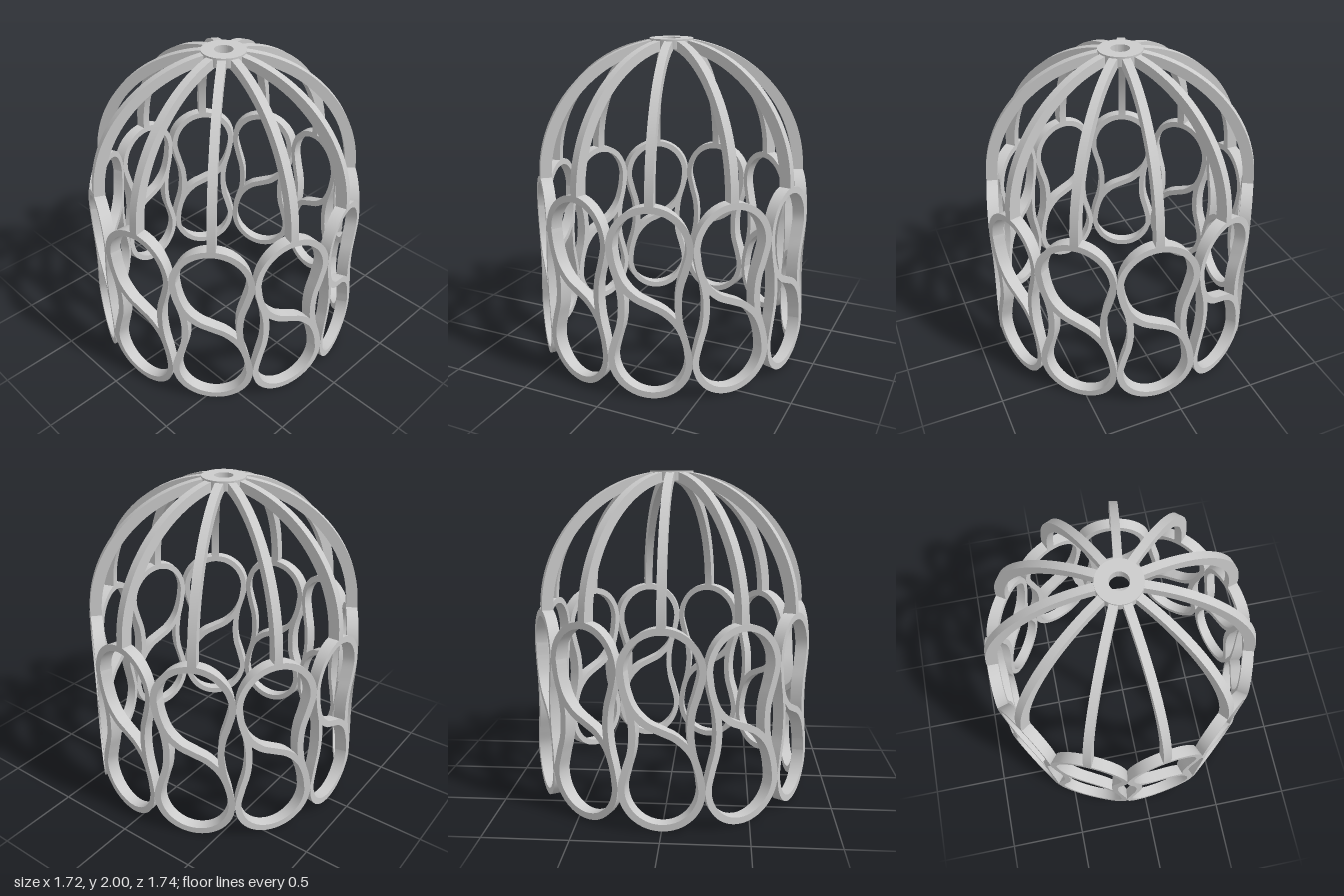
import * as THREE from 'three';
import { toCreasedNormals } from 'three/addons/utils/BufferGeometryUtils.js';

const SIDES = 11;
const APOTHEM = 0.844;   // centre to the outside of a flat side
const DEPTH = 0.07;      // radial thickness of panels and ribs
const STRIP = 0.04;      // width of the panel bands
const MID = 0.5875;      // height of the panel's middle
const CAP_Y = 0.3395, CAP_R = 0.228;

const material = new THREE.MeshStandardMaterial({ color: 0xcccccc, side: THREE.DoubleSide });

// Points of a curve shifted sideways by d
function offsetPoints(curve, d, n) {
  return Array.from({ length: n + 1 }, (_, i) => {
    const p = curve.getPointAt(i / n), t = curve.getTangentAt(i / n);
    return new THREE.Vector2(p.x - t.y * d, p.y + t.x * d);
  });
}

const toCurve = (pts, closed) =>
  new THREE.CatmullRomCurve3(pts.map(([x, y]) => new THREE.Vector3(x, y, 0)), closed, 'centripetal');

// Extrude a flat band and taper it inward so neighbouring panels mitre
function bandGeometry(shape) {
  const geo = new THREE.ExtrudeGeometry(shape, { depth: DEPTH, bevelEnabled: false });
  const pos = geo.attributes.position;
  for (let i = 0; i < pos.count; i++) {
    const r = APOTHEM - DEPTH + pos.getZ(i);
    pos.setXYZ(i, pos.getX(i) * r / APOTHEM, pos.getY(i) + MID, r);
  }
  return toCreasedNormals(geo, 0.6);
}

// Peanut-shaped outline: round cap, waisted side, then the same turned half round
function outlineGeometry() {
  const half = [];
  for (let i = 0; i <= 8; i++) {
    const a = Math.PI * i / 8;
    half.push([CAP_R * Math.cos(a), CAP_Y + CAP_R * Math.sin(a)]);
  }
  half.push([-0.21, 0.23], [-0.178, 0.12], [-0.163, 0], [-0.172, -0.12], [-0.204, -0.23]);
  const curve = toCurve([...half, ...half.map(([x, y]) => [-x, -y])], true);
  const n = 120;
  const shape = new THREE.Shape(offsetPoints(curve, -STRIP / 2, n).slice(0, n));
  shape.holes.push(new THREE.Path(offsetPoints(curve, STRIP / 2, n).slice(0, n)));
  return bandGeometry(shape);
}

// S-shaped divider running from upper left to lower right
function dividerGeometry() {
  const half = [[-CAP_R, CAP_Y], [-0.21, 0.23], [-0.165, 0.12], [-0.085, 0.04]];
  const curve = toCurve([...half, [0, 0], ...half.map(([x, y]) => [-x, -y]).reverse()], false);
  return bandGeometry(new THREE.Shape([
    ...offsetPoints(curve, -STRIP / 2, 48),
    ...offsetPoints(curve, STRIP / 2, 48).reverse(),
  ]));
}

// Quarter-arch rib, drawn in the radial plane and turned to face outward along z
function ribGeometry() {
  const baseY = 1.175, width = 0.05, outer = [], inner = [];
  const n = 32, endR = 0.1;
  const arc = (list, a, b) => {
    const end = Math.acos(endR / a);
    for (let i = 0; i <= n; i++) {
      const t = end * i / n;
      list.push(new THREE.Vector2(a * Math.cos(t), baseY + b * Math.sin(t)));
    }
  };
  arc(outer, APOTHEM, 0.825);
  arc(inner, APOTHEM - DEPTH, 0.765);
  const foot = [new THREE.Vector2(APOTHEM - DEPTH, 1.16), new THREE.Vector2(APOTHEM, 1.16)];
  const geo = new THREE.ExtrudeGeometry(new THREE.Shape([...foot, ...outer, ...inner.reverse()]),
    { depth: width, bevelEnabled: false });
  geo.translate(0, 0, -width / 2).rotateY(-Math.PI / 2);
  return toCreasedNormals(geo, 0.6);
}

// Flat ring joining the ribs at the crown
function hubGeometry() {
  const shape = new THREE.Shape().absarc(0, 0, 0.135, 0, Math.PI * 2);
  shape.holes.push(new THREE.Path().absarc(0, 0, 0.057, 0, Math.PI * 2, true));
  const geo = new THREE.ExtrudeGeometry(shape, { depth: 0.06, bevelEnabled: false, curveSegments: 40 });
  geo.rotateX(-Math.PI / 2).translate(0, 1.94, 0);
  return toCreasedNormals(geo, 0.6);
}

export function createModel() {
  const model = new THREE.Group();
  model.name = 'domedCage';
  const add = (parent, name, geo) => {
    const mesh = new THREE.Mesh(geo, material);
    mesh.name = name;
    parent.add(mesh);
  };

  const outline = outlineGeometry(), divider = dividerGeometry(), rib = ribGeometry();
  for (let i = 0; i < SIDES; i++) {
    const side = new THREE.Group();
    side.name = `side${i + 1}`;
    side.rotation.y = -Math.PI / 2 + i * 2 * Math.PI / SIDES;
    add(side, 'panelOutline', outline);
    add(side, 'panelDivider', divider);
    add(side, 'domeRib', rib);
    model.add(side);
  }
  add(model, 'crownRing', hubGeometry());

  // An odd number of sides sits slightly off centre
  model.children.forEach((part) => { part.position.x = -0.018; });
  return model;
}
